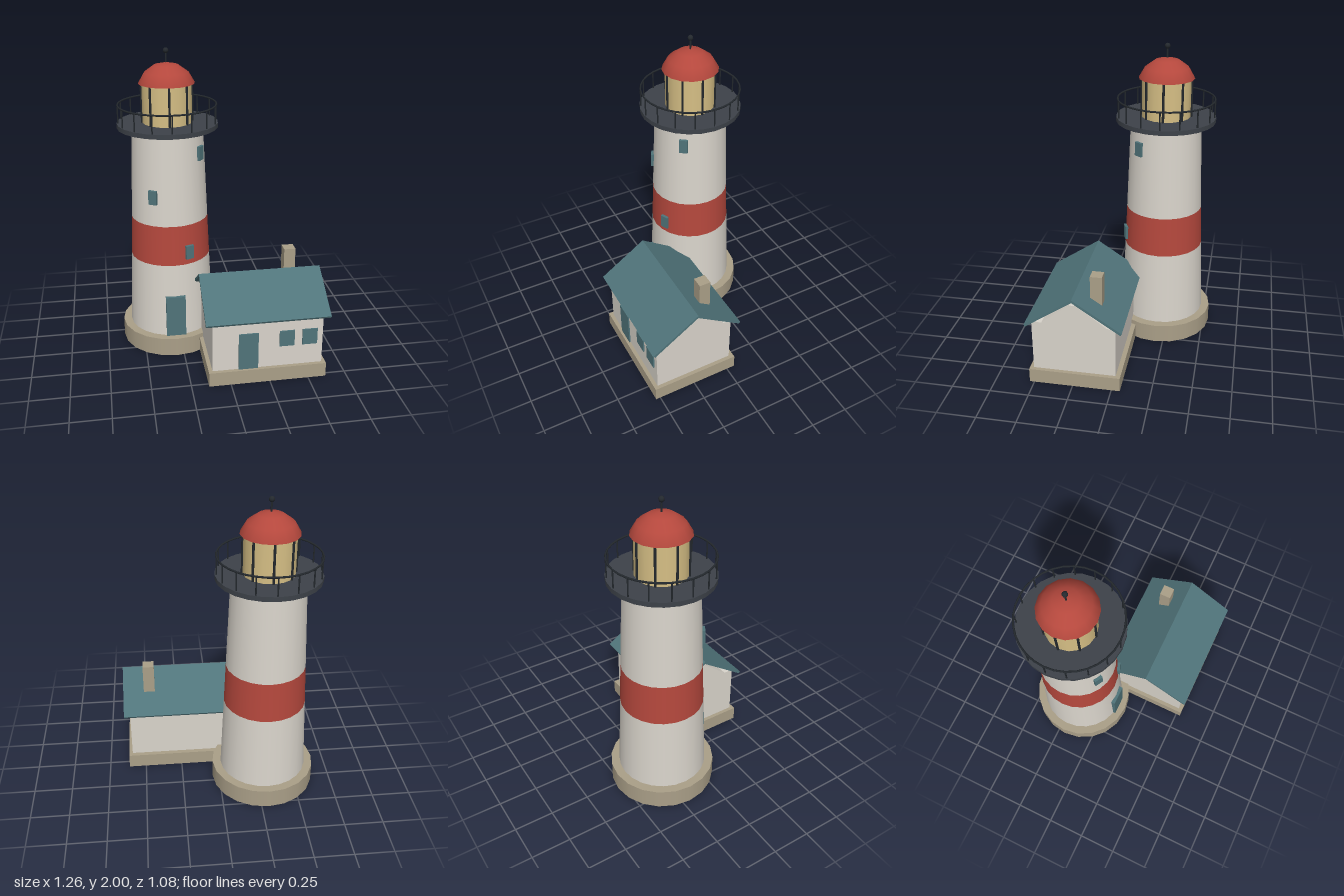
import * as THREE from 'three';

const mat = (name, color, side = THREE.FrontSide) => {
  const m = new THREE.MeshStandardMaterial({ color, side });
  m.name = name;
  return m;
};

export function createModel() {
  const white = mat('whitewash', 0xd9d4cb);
  const red = mat('red paint', 0xb5483d);
  const stone = mat('stone', 0xaa9f88);
  const teal = mat('teal paint', 0x50747a);
  const iron = mat('dark iron', 0x24292e);
  const deckGrey = mat('deck grey', 0x3d4249);
  const glass = mat('lantern glass', 0xd6bf85);

  const model = new THREE.Group();
  model.name = 'lighthouse';
  const tower = new THREE.Group();
  tower.name = 'tower';
  tower.position.set(-0.295, 0, -0.2);
  const house = new THREE.Group();
  house.name = 'keeperHouse';
  model.add(tower, house);

  const add = (parent, name, geo, material, x = 0, y = 0, z = 0) => {
    const mesh = new THREE.Mesh(geo, material);
    mesh.name = name;
    mesh.position.set(x, y, z);
    parent.add(mesh);
    return mesh;
  };
  // Upright cylinder between two heights
  const column = (name, r0, r1, y0, y1, sides, material, x = 0, z = 0) =>
    add(tower, name, new THREE.CylinderGeometry(r1, r0, y1 - y0, sides), material, x, (y0 + y1) / 2, z);
  // Box given by its limits on each axis
  const block = (name, [x0, x1], [y0, y1], [z0, z1], material) =>
    add(house, name, new THREE.BoxGeometry(x1 - x0, y1 - y0, z1 - z0), material,
      (x0 + x1) / 2, (y0 + y1) / 2, (z0 + z1) / 2);

  // Tapered tower in three painted sections
  const radiusAt = (y) => THREE.MathUtils.mapLinear(y, 0.125, 1.5, 0.285, 0.23);
  const section = (name, y0, y1, material) =>
    column(name, radiusAt(y0), radiusAt(y1), y0, y1, 24, material);
  column('towerBase', 0.34, 0.34, 0, 0.125, 20, stone);
  section('lowerTower', 0.125, 0.63, white);
  section('redBand', 0.63, 0.9, red);
  section('upperTower', 0.9, 1.5, white);

  // Tower door and windows, turned to face outward
  const opening = (name, angle, y, w, h, r) => {
    const m = add(tower, name, new THREE.BoxGeometry(w, h, 0.03), teal,
      Math.sin(angle) * r, y, Math.cos(angle) * r);
    m.rotation.y = angle;
  };
  opening('towerDoor', 0, 0.268, 0.13, 0.285, 0.277);
  for (const [angle, y] of [[0.39, 0.715], [-0.52, 1.095], [0.91, 1.355]])
    opening('towerWindow', angle, y, 0.055, 0.092, radiusAt(y));

  // Gallery with railing
  column('galleryDeck', 0.325, 0.325, 1.5, 1.53, 24, deckGrey);
  const rail = add(tower, 'galleryRail', new THREE.TorusGeometry(0.315, 0.006, 6, 32), iron, 0, 1.645, 0);
  rail.rotation.x = Math.PI / 2;
  for (let i = 0; i < 16; i++) {
    const a = (i / 16) * Math.PI * 2;
    column('railPost', 0.005, 0.005, 1.53, 1.645, 6, iron, Math.sin(a) * 0.315, Math.cos(a) * 0.315);
  }

  // Lantern room with glazing bars
  column('lanternGlass', 0.16, 0.16, 1.53, 1.78, 16, glass);
  for (let i = 0; i < 8; i++) {
    const a = (i / 8) * Math.PI * 2;
    column('glazingBar', 0.008, 0.008, 1.53, 1.78, 6, iron, Math.sin(a) * 0.162, Math.cos(a) * 0.162);
  }

  // Domed roof, its underside and the finial
  const R = 0.19;
  add(tower, 'dome', new THREE.SphereGeometry(R, 16, 3, 0, Math.PI * 2, 0, Math.acos(0.06 / R)), red, 0, 1.72, 0);
  const soffit = add(tower, 'domeUnderside', new THREE.CircleGeometry(0.18, 16), red, 0, 1.78, 0);
  soffit.rotation.x = Math.PI / 2;
  column('finialRod', 0.006, 0.006, 1.9, 1.98, 6, iron);
  add(tower, 'finialBall', new THREE.SphereGeometry(0.018, 8, 6), iron, 0, 1.982, 0);

  // House body
  block('houseBase', [-0.14, 0.615], [0, 0.095], [-0.055, 0.53], stone);
  block('houseWalls', [-0.115, 0.59], [0.095, 0.44], [-0.025, 0.505], white);
  block('houseDoor', [0.05, 0.175], [0.095, 0.345], [0.495, 0.514], teal);
  for (const x of [0.31, 0.457])
    block('houseWindow', [x, x + 0.096], [0.238, 0.345], [0.495, 0.514], teal);
  block('chimney', [0.415, 0.49], [0.525, 0.735], [0.075, 0.15], stone);

  // Profiles in (z, y), extruded along x
  const extrudeX = (name, points, x0, x1, material) => {
    const shape = new THREE.Shape(points.map(([z, y]) => new THREE.Vector2(z, y)));
    const geo = new THREE.ExtrudeGeometry(shape, { depth: x1 - x0, bevelEnabled: false });
    geo.rotateY(-Math.PI / 2);
    add(house, name, geo, material, x1, 0, 0);
  };
  extrudeX('gable', [[0.03, 0.44], [0.44, 0.44], [0.26, 0.583], [0.21, 0.583]], -0.115, 0.59, white);
  extrudeX('roof', [
    [0.235, 0.645], [-0.072, 0.44], [-0.064, 0.426],
    [0.235, 0.627], [0.534, 0.426], [0.542, 0.44],
  ], -0.16, 0.63, teal);

  return model;
}
